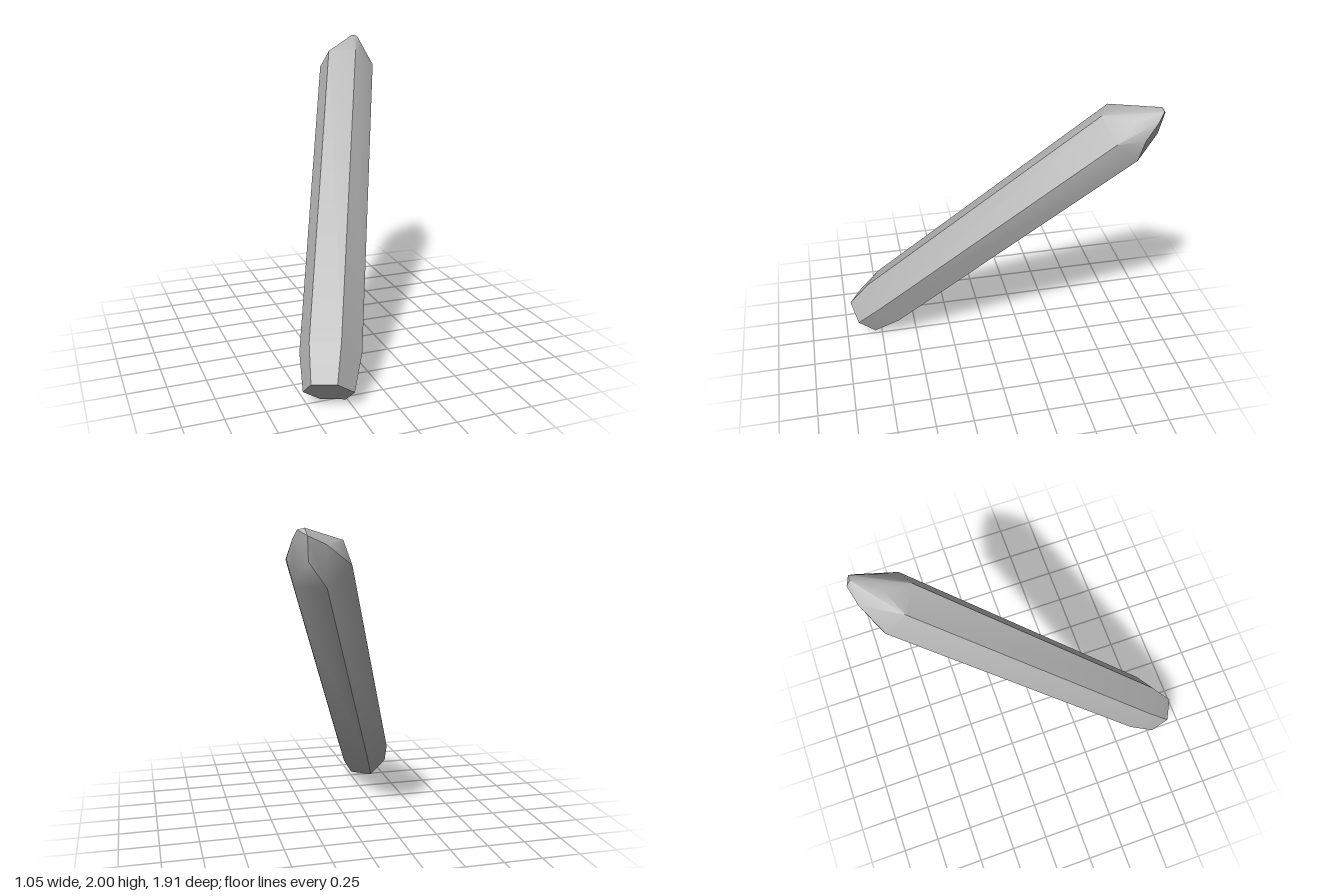
import * as THREE from 'three';
import { ConvexGeometry } from 'three/addons/geometries/ConvexGeometry.js';
import { toCreasedNormals } from 'three/addons/utils/BufferGeometryUtils.js';

const V = (x, y, z) => new THREE.Vector3(x, y, z);

// Two spokes of the tilted regular hexagon, 120 degrees apart.
const spokeA = V(-0.154, 0.117, 0.053);
const spokeC = V(0.17, 0.012, 0.09);

// Six corners of a cross-section around a point on the crystal's axis.
function hexRing(center, scale) {
  const spokeB = spokeA.clone().add(spokeC);
  return [spokeA, spokeB, spokeC].flatMap((s) => [
    center.clone().addScaledVector(s, scale),
    center.clone().addScaledVector(s, -scale),
  ]);
}

export function createModel() {
  const group = new THREE.Group();
  group.name = 'crystal';

  const stone = new THREE.MeshStandardMaterial({ color: 0xb8b8b8 });
  stone.name = 'grey stone';

  const points = [
    // narrowed foot, lower shoulder and upper shoulder
    ...hexRing(V(-0.39, 0.108, 0.84), 0.81),
    ...hexRing(V(-0.32, 0.28, 0.682), 1),
    ...hexRing(V(0.325, 1.8, -0.747), 1),
    // uneven facets of the point
    V(0.32, 1.91, -0.93),
    V(0.33, 1.965, -0.77),
    V(0.46, 1.94, -0.78),
    V(0.52, 1.83, -0.82),
    V(0.42, 1.82, -0.93),
    // small blunt end
    V(0.44, 2.0, -0.93),
    V(0.43, 1.96, -0.958),
    V(0.48, 1.99, -0.93),
    V(0.5, 1.94, -0.9),
  ];

  // The gentle bends stay smooth, the long prism edges stay sharp.
  const shard = new THREE.Mesh(toCreasedNormals(new ConvexGeometry(points), 0.6), stone);
  shard.name = 'crystalShard';
  group.add(shard);
  return group;
}
